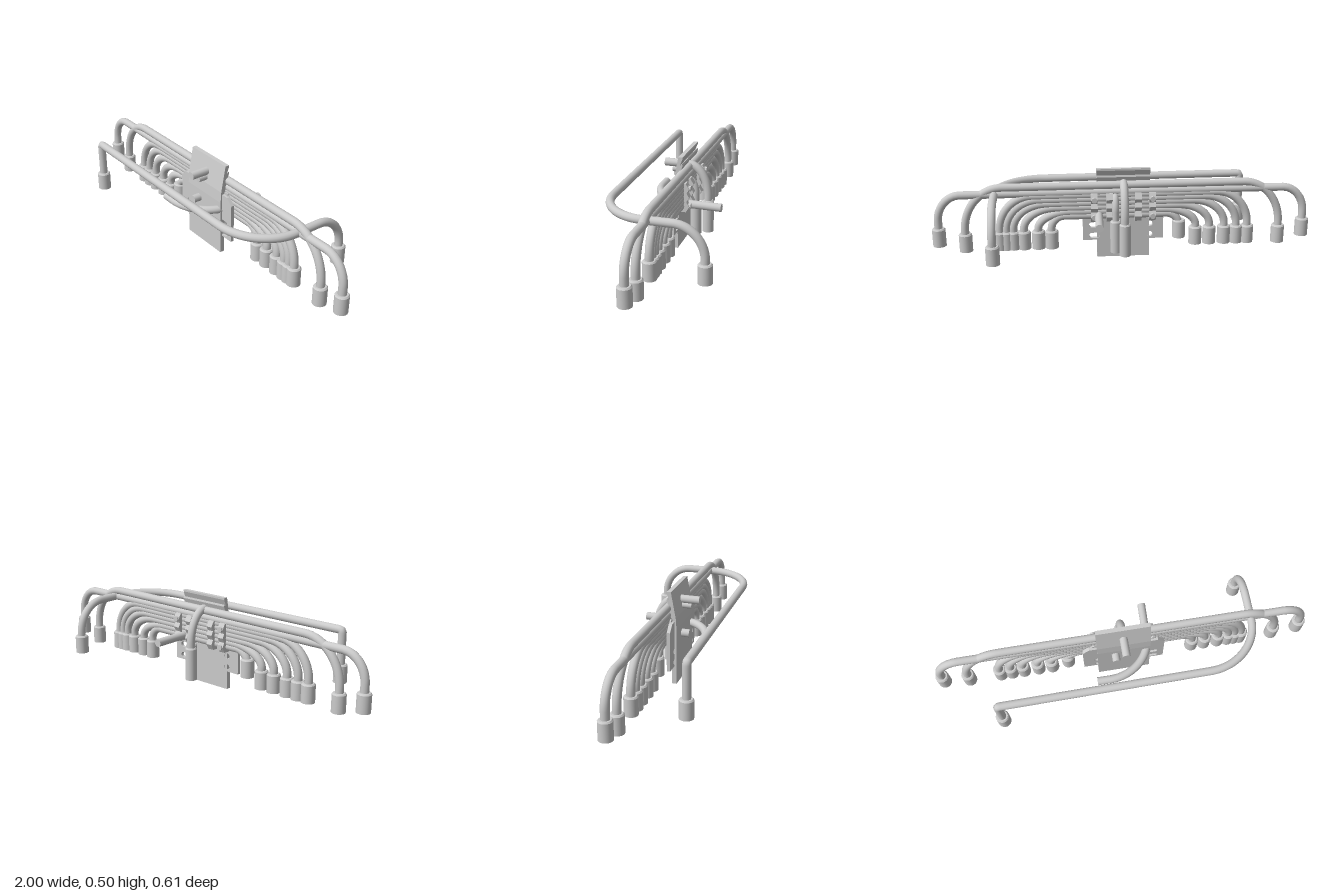
import * as THREE from 'three';

const V = (x, y, z) => new THREE.Vector3(x, y, z);
const R = 0.021;

export function createModel() {
  const group = new THREE.Group();
  const mat = new THREE.MeshStandardMaterial({ color: 0xcccccc });
  const flat = new THREE.MeshStandardMaterial({ color: 0xcccccc, flatShading: true });

  const add = (name, geo, x = 0, y = 0, z = 0, m = mat) => {
    const mesh = new THREE.Mesh(geo, m);
    mesh.name = name;
    mesh.position.set(x, y, z);
    group.add(mesh);
    return mesh;
  };

  // Pipe through points; each corner is [point, cut before, cut after]
  function pipe(name, start, corners, end, r = R, segs = 90) {
    const path = new THREE.CurvePath();
    let last = start;
    corners.forEach(([c, before, after], i) => {
      const prev = i ? corners[i - 1][0] : start;
      const next = i < corners.length - 1 ? corners[i + 1][0] : end;
      const a = c.clone().add(prev.clone().sub(c).setLength(before));
      const b = c.clone().add(next.clone().sub(c).setLength(after));
      path.add(new THREE.LineCurve3(last, a));
      path.add(new THREE.CubicBezierCurve3(a, a.clone().lerp(c, 0.55), b.clone().lerp(c, 0.55), b));
      last = b;
    });
    path.add(new THREE.LineCurve3(last, end));
    add(name, new THREE.TubeGeometry(path, segs, r, 14));
    // flat discs closing both ends
    for (const [t, s] of [[0, -1], [1, 1]]) {
      const disc = add(name + 'End', new THREE.CircleGeometry(r, 14));
      const p = path.getPointAt(t);
      disc.position.copy(p);
      disc.lookAt(p.clone().addScaledVector(path.getTangentAt(t), s));
    }
  }

  // Bell sleeve at a pipe end, its bottom at y
  function sleeve(x, y, z, h = 0.097, r = 0.035) {
    const profile = [[0, 0], [r, 0], [r, h - 0.007], [r - 0.006, h], [0, h]];
    // doubled points keep the edges crisp
    const pts = profile.flatMap(([a, b], i) =>
      i > 0 && i < 4 ? [new THREE.Vector2(a, b), new THREE.Vector2(a, b)] : [new THREE.Vector2(a, b)]);
    add('sleeve', new THREE.LatheGeometry(pts, 20), x, y, z);
  }

  // Arch across the full width in the z = 0 plane
  function arch(name, xl, xr, top, bottom, cutX, cutY, bottomL = bottom) {
    pipe(name, V(xl, bottomL + 0.09, 0),
      [[V(xl, top, 0), cutY, cutX], [V(xr, top, 0), cutX, cutY]],
      V(xr, bottom + 0.09, 0));
    sleeve(xl, bottomL, 0);
    sleeve(xr, bottom, 0);
  }

  arch('outerArch', -0.965, 0.965, 0.378, 0.105, 0.12, 0.14);
  arch('upperArch', -0.835, 0.83, 0.413, 0.07, 0.2, 0.23);

  // Nested inner arches
  const inner = [
    [-0.295, 0.38, 0.25, 0.115], [-0.385, 0.45, 0.272], [-0.46, 0.525, 0.295],
    [-0.54, 0.58, 0.318], [-0.605, 0.615, 0.34], [-0.665, 0.65, 0.362],
  ];
  inner.forEach(([l, r, top, bl], i) =>
    arch('innerArch', l, r, top, 0.075, i ? 0.17 : 0.07, top - 0.18, bl));

  // Long front pipe that swings round to the rear
  pipe('frontPipe', V(-0.675, 0.19, 0.268),
    [[V(-0.675, 0.377, 0.268), 0.012, 0.012],
      [V(0.67, 0.377, 0.258), 0.26, 0.24],
      [V(0.67, 0.377, -0.27), 0.15, 0.16]],
    V(0.67, 0.19, -0.27), R, 200);
  sleeve(-0.675, 0.105, 0.268);
  sleeve(0.67, 0.105, -0.27);

  // Short curved pipe through the middle
  pipe('curvedPipe', V(-0.16, 0.252, 0.18), [[V(0.125, 0.252, 0.182), 0.22, 0.2]],
    V(0.137, 0.252, -0.207));

  // Pipe through the plate, bending down behind it
  pipe('centrePipe', V(0, 0.422, 0.132), [[V(0, 0.422, -0.1), 0.11, 0.17]], V(0, 0.2, -0.1));
  sleeve(0, 0.057, -0.1, 0.175, 0.03);
  sleeve(0.045, 0.057, -0.046, 0.175, 0.029);
  pipe('rearBranch', V(0.045, 0.36, 0.02), [[V(0.045, 0.36, -0.046), 0.05, 0.08]],
    V(0.045, 0.21, -0.046), 0.018, 40);

  // Stubs on the front of the plate
  const stub = add('stub', new THREE.CylinderGeometry(R, R, 0.06, 14), -0.045, 0.252, 0.062);
  stub.rotation.x = Math.PI / 2;
  const lowerStub = add('lowerStub', new THREE.CylinderGeometry(0.017, 0.017, 0.06, 14), 0, 0.39, 0.06);
  lowerStub.rotation.x = Math.PI / 2;

  // Main plate: side profile (z, y) leaning back at the top, stepped at the rear
  const side = new THREE.Shape([
    [0.05, 0], [0.05, 0.3], [0.046, 0.36], [0.02, 0.5], [-0.002, 0.5], [-0.002, 0.49],
    [0.012, 0.455], [0, 0.465], [-0.003, 0.455], [0.01, 0.42], [0.004, 0.425], [0, 0.418],
    [0.025, 0.355], [0.025, 0],
  ].map(([z, y]) => new THREE.Vector2(-z, y)));
  const plateGeo = new THREE.ExtrudeGeometry(side, { depth: 0.28, bevelEnabled: false });
  plateGeo.rotateY(Math.PI / 2).translate(-0.14, 0, 0);
  add('mainPlate', plateGeo, 0, 0, 0, flat);

  // Wider bracket plate with slots along both edges
  const bracket = new THREE.Shape([
    [-0.215, 0.1], [0.215, 0.1], [0.215, 0.31], [0.18, 0.345], [-0.18, 0.345], [-0.215, 0.31],
  ].map(([x, y]) => new THREE.Vector2(x, y)));
  for (const [x0, x1] of [[-0.158, -0.125], [0.125, 0.182]]) {
    for (const y of [0.125, 0.185]) {
      const slot = new THREE.Path();
      slot.absarc(x0 + 0.015, y, 0.015, Math.PI / 2, Math.PI * 1.5, false);
      slot.absarc(x1 - 0.015, y, 0.015, -Math.PI / 2, Math.PI / 2, false);
      slot.closePath();
      bracket.holes.push(slot);
    }
  }
  add('bracketPlate', new THREE.ExtrudeGeometry(bracket, { depth: 0.018, bevelEnabled: false }),
    0, 0, 0.022, flat);

  // Hexagonal clamp nuts around the arches behind the plate
  for (const y of [0.25, 0.3, 0.345]) {
    for (const x of [-0.15, -0.075, 0.075, 0.155]) {
      const nut = add('clampNut', new THREE.CylinderGeometry(0.034, 0.034, 0.035, 6), x, y, -0.012, flat);
      nut.rotation.z = Math.PI / 2;
    }
  }
  // Clamp bolts reaching back from the bracket
  for (const x of [-0.15, 0.155]) {
    for (const y of [0.25, 0.345]) {
      const bolt = add('clampBolt', new THREE.CylinderGeometry(0.015, 0.015, 0.08, 8), x, y, -0.012, flat);
      bolt.rotation.x = Math.PI / 2;
    }
  }
  return group;
}
